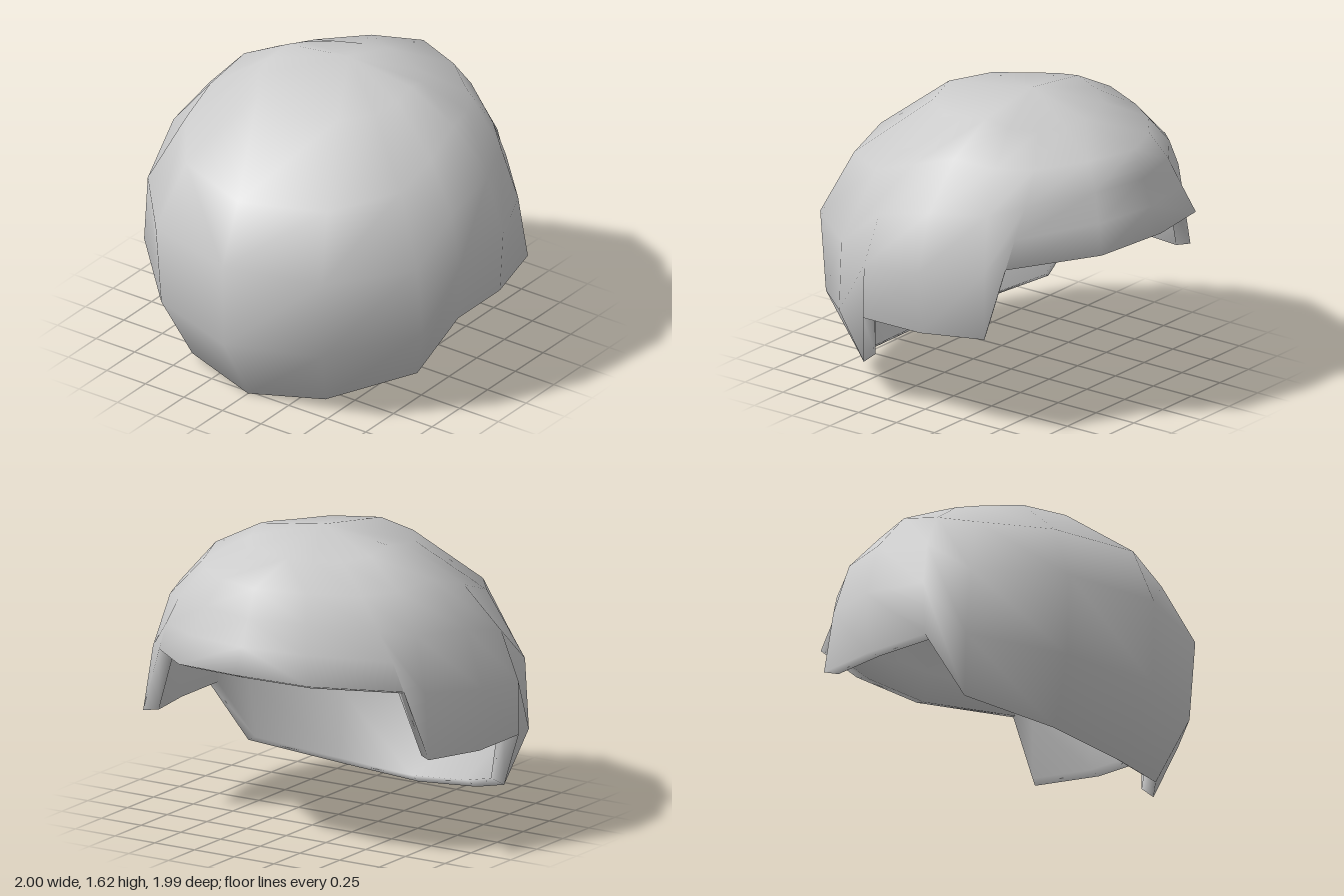
import * as THREE from 'three';

// Half of the cap, front to back: [azimuth at crown, azimuth at rim (degrees),
// then radius and height pairs from crown to rim]
const COLUMNS = [
  [0, 0, 0.55, 1.53, 1.0, 1.19, 1.14, 0.86, 1.13, 0.39, 0.91, 0],
  [29, 28, 0.53, 1.52, 0.95, 1.2, 1.13, 0.86, 1.1, 0.41, 0.92, 0.06],
  [53, 58, 0.48, 1.52, 0.86, 1.25, 1.06, 0.88, 1.08, 0.5, 0.95, 0.2],
  [71, 69, 0.44, 1.54, 0.76, 1.34, 0.96, 1.1, 1.05, 0.83, 1.05, 0.53],
  [90, 90, 0.4, 1.565, 0.68, 1.42, 0.9, 1.18, 1.0, 0.87, 0.98, 0.53],
  [109, 112, 0.4, 1.53, 0.65, 1.39, 0.83, 1.19, 0.92, 0.9, 0.97, 0.55],
  [132, 117, 0.38, 1.51, 0.63, 1.39, 0.76, 1.23, 0.83, 1.07, 0.872, 0.91],
  [156, 152, 0.35, 1.51, 0.63, 1.41, 0.73, 1.27, 0.8, 1.12, 0.872, 0.97],
  [180, 180, 0.35, 1.515, 0.67, 1.42, 0.73, 1.27, 0.79, 1.13, 0.85, 0.99],
];
const ROWS = 5;
const CROWN = new THREE.Vector3(0, 1.62, -0.14);
const CENTRE = new THREE.Vector3(0, 0.6, 0);
const INNER_SCALE = 0.92;

// Mirror the half to get a full ring of columns
function fullRing() {
  const mirrored = COLUMNS.slice(1, -1).reverse().map(([a, b, ...rest]) => [360 - a, 360 - b, ...rest]);
  return [...COLUMNS, ...mirrored];
}

function createShell() {
  const ring = fullRing();
  const n = ring.length;

  // Outer skin: crown point, then each column down to the rim
  const outer = [CROWN.clone()];
  for (const [crownAngle, rimAngle, ...profile] of ring) {
    for (let j = 0; j < ROWS; j++) {
      const a = THREE.MathUtils.degToRad(THREE.MathUtils.lerp(crownAngle, rimAngle, j / (ROWS - 1)));
      const r = profile[2 * j];
      outer.push(new THREE.Vector3(r * Math.sin(a), profile[2 * j + 1], CROWN.z + r * Math.cos(a)));
    }
  }
  // Inner skin: the same points drawn in towards the centre
  const inner = outer.map((p) => p.clone().sub(CENTRE).multiplyScalar(INNER_SCALE).add(CENTRE));

  const offset = outer.length;
  const at = (i, j) => 1 + (i % n) * ROWS + j;
  const index = [];
  const addBoth = (a, b, c) => index.push(a, b, c, offset + a, offset + c, offset + b);
  for (let i = 0; i < n; i++) {
    addBoth(0, at(i, 0), at(i + 1, 0));
    for (let j = 0; j < ROWS - 1; j++) {
      const a = at(i, j), b = at(i, j + 1), c = at(i + 1, j + 1), d = at(i + 1, j);
      // Mirror the diagonals so both halves match
      if (i < n / 2) {
        addBoth(a, b, d);
        addBoth(b, c, d);
      } else {
        addBoth(a, b, c);
        addBoth(a, c, d);
      }
    }
    // Rim wall joining the two skins
    const p = at(i, ROWS - 1), q = at(i + 1, ROWS - 1);
    index.push(p, offset + p, q, offset + p, offset + q, q);
  }

  const geometry = new THREE.BufferGeometry().setFromPoints([...outer, ...inner]);
  geometry.setIndex(index);
  geometry.computeVertexNormals();
  return geometry;
}

export function createModel() {
  const group = new THREE.Group();
  group.name = 'cap';
  const shell = new THREE.Mesh(
    createShell(),
    new THREE.MeshStandardMaterial({ color: 0xcccccc }),
  );
  shell.name = 'capShell';
  group.add(shell);
  return group;
}
